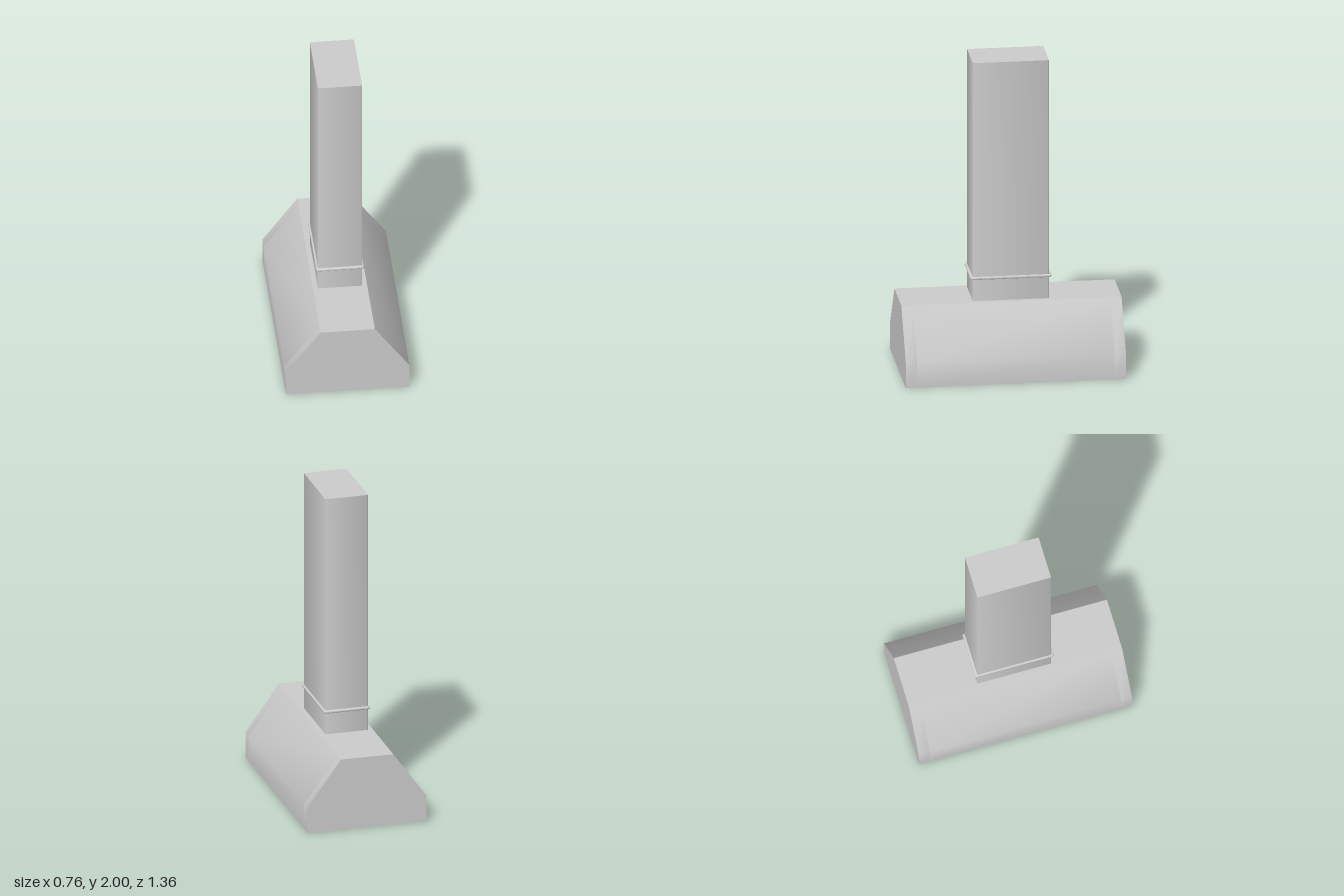
import * as THREE from 'three';
import { toCreasedNormals } from 'three/addons/utils/BufferGeometryUtils.js';

const material = new THREE.MeshStandardMaterial({ color: 0xcccccc });

const HALF_LENGTH = 0.68; // hood half length along z
const INNER_LENGTH = 0.61; // cavity half length along z
const INNER_WIDTH = 0.3; // cavity half width along x
const CEILING = 0.22;

// Extrudes an x-y outline along z between two positions
function prism(name, points, z0, z1) {
  const shape = new THREE.Shape(points.map(([x, y]) => new THREE.Vector2(x, y)));
  const geometry = new THREE.ExtrudeGeometry(shape, { depth: z1 - z0, bevelEnabled: false });
  geometry.translate(0, 0, z0);
  const mesh = new THREE.Mesh(toCreasedNormals(geometry, 0.8), material);
  mesh.name = name;
  return mesh;
}

function roundedRect(hx, hz, r) {
  const s = new THREE.Shape();
  s.absarc(hx - r, hz - r, r, 0, Math.PI / 2);
  s.absarc(-hx + r, hz - r, r, Math.PI / 2, Math.PI);
  s.absarc(-hx + r, -hz + r, r, Math.PI, Math.PI * 1.5);
  s.absarc(hx - r, -hz + r, r, Math.PI * 1.5, Math.PI * 2);
  return s;
}

// Extrudes a rounded rectangle upwards
function upright(name, shape, y, options) {
  const geometry = new THREE.ExtrudeGeometry(shape, options);
  geometry.rotateX(-Math.PI / 2);
  geometry.translate(0, y, 0);
  const mesh = new THREE.Mesh(toCreasedNormals(geometry, 0.7), material);
  mesh.name = name;
  return mesh;
}

export function createModel() {
  const model = new THREE.Group();
  model.name = 'rangeHood';

  // Canopy: hollow middle section closed by two solid ends
  const roof = [[0.38, 0], [0.38, 0.165], [0.167, 0.46], [-0.167, 0.46], [-0.38, 0.165], [-0.38, 0]];
  const cavity = [[-INNER_WIDTH, 0], [-INNER_WIDTH, CEILING], [INNER_WIDTH, CEILING], [INNER_WIDTH, 0]];
  model.add(
    prism('canopy', [...roof, ...cavity], -INNER_LENGTH, INNER_LENGTH),
    prism('canopyFrontEnd', roof, INNER_LENGTH, HALF_LENGTH),
    prism('canopyBackEnd', roof, -HALF_LENGTH, -INNER_LENGTH),
  );

  // Sloped filter panel hanging inside the cavity
  const panel = [[-0.26, 0.04], [-0.23, 0.04], [-0.13, 0.19], [-0.13, CEILING], [-0.16, CEILING]];
  model.add(prism('filterPanel', panel, -0.54, 0.54));

  // Chimney duct with slightly softened corners
  model.add(upright('chimney', roundedRect(0.136, 0.235, 0.005), 0.46,
    { depth: 1.54, bevelEnabled: false, curveSegments: 3 }));

  // Rounded collar around the chimney
  model.add(upright('collar', roundedRect(0.139, 0.242, 0.004), 0.606,
    { depth: 0.002, bevelThickness: 0.008, bevelSize: 0.008, bevelSegments: 4, curveSegments: 3 }));

  return model;
}
